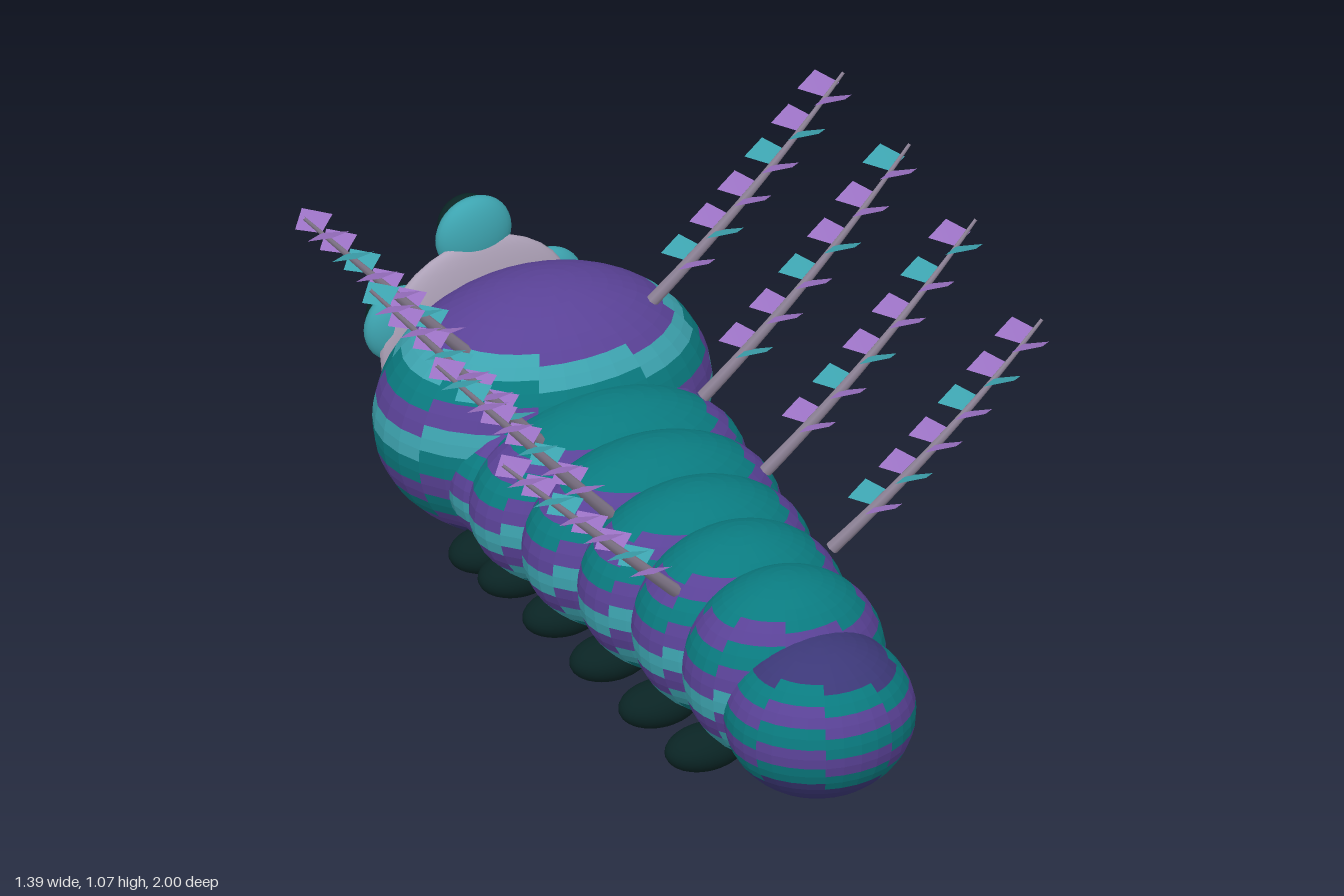
import * as THREE from 'three';

const mat = (name, color, extra = {}) => {
  const m = new THREE.MeshStandardMaterial({ color, ...extra });
  m.name = name;
  return m;
};

export function createModel() {
  const model = new THREE.Group();
  model.name = 'caterpillar';

  const purple = mat('purple', 0x5a4297, { flatShading: true });
  const indigo = mat('indigo', 0x3c3878, { flatShading: true });
  const teal = mat('teal', 0x0a7b80, { flatShading: true });
  const aqua = mat('aqua', 0x3da4b0, { flatShading: true });
  const eyeAqua = mat('eyeAqua', 0x3da4b0);
  const lavender = mat('paleLavender', 0xaea2b8);
  const dark = mat('darkGreen', 0x0a2424);
  const stemGrey = mat('stemGrey', 0x8d8296);
  const leafLilac = mat('leafLilac', 0x9b72c4, { side: THREE.DoubleSide });
  const leafAqua = mat('leafAqua', 0x3da4b0, { side: THREE.DoubleSide });
  const stripes = [purple, indigo, teal, aqua];

  function add(name, geometry, material, parent = model) {
    const mesh = new THREE.Mesh(geometry, material);
    mesh.name = name;
    parent.add(mesh);
    return mesh;
  }

  function ellipsoid(name, material, pos, radii) {
    const mesh = add(name, new THREE.SphereGeometry(1, 28, 18), material);
    mesh.position.set(...pos);
    mesh.scale.set(...radii);
  }

  // Ellipsoid with plain caps and stepped bands; each letter colours one band,
  // two rows of faces high
  const COLS = 32;
  function striped(name, pattern, pos, radii) {
    const rows = pattern.length * 2;
    const g = new THREE.SphereGeometry(1, COLS, rows);
    const buckets = stripes.map(() => []);
    const idx = g.index.array;
    const steps = [0, 1, 0, -1];
    let k = 0;
    for (let r = 0; r < rows; r++) {
      const n = r === 0 || r === rows - 1 ? 3 : 6;
      for (let c = 0; c < COLS; c++, k += n) {
        const shift = steps[Math.floor((c + 2) / 4) % 4];
        const row = THREE.MathUtils.clamp(r + shift, 0, rows - 1);
        buckets['pita'.indexOf(pattern[row >> 1])].push(...idx.slice(k, k + n));
      }
    }
    g.setIndex(buckets.flat());
    let start = 0;
    buckets.forEach((b, i) => {
      if (b.length) g.addGroup(start, b.length, i);
      start += b.length;
    });
    const mesh = add(name, g, stripes);
    mesh.position.set(...pos);
    mesh.scale.set(...radii);
  }

  // Body: tail, six segments and the head, facing -z
  striped('tail', 'iiitptptiiii', [0, 0.217, 0.79], [0.222, 0.19, 0.208]);
  [[0.615, 0.24, 0.23], [0.395, 0.257, 0.23], [0.18, 0.285, 0.23],
    [-0.035, 0.318, 0.23], [-0.25, 0.342, 0.23], [-0.38, 0.33, 0.215]]
    .forEach(([z, rx, ry], i) =>
      striped('segment' + (i + 1), 'tttptpapattt', [0, 0.257, z], [rx, ry, 0.2]));
  striped('head', 'ppppatpatptpippp', [0, 0.315, -0.572], [0.407, 0.313, 0.3]);

  // Feet in pairs
  [[0.575, 0.18], [0.357, 0.185], [0.126, 0.19], [-0.095, 0.195], [-0.295, 0.205], [-0.42, 0.215]]
    .forEach(([z, x]) => {
      for (const s of [1, -1]) ellipsoid('foot', dark, [s * x, 0.062, z], [0.1, 0.053, 0.065]);
    });

  // Face plate, mouth and three eyes
  ellipsoid('face', lavender, [0, 0.33, -0.89], [0.25, 0.24, 0.045]);
  ellipsoid('mouth', dark, [0, 0.163, -0.957], [0.05, 0.017, 0.016]);
  for (const [x, y] of [[0.183, 0.385], [-0.183, 0.385], [0, 0.572]]) {
    ellipsoid('eye', eyeAqua, [x, y, -0.912], [0.095, 0.095, 0.042]);
    ellipsoid('pupil', dark, [x, y + 0.01, -0.957], [0.067, 0.067, 0.034]);
    ellipsoid('eyeGlint', lavender, [x - 0.016, y + 0.026, -0.981], [0.023, 0.023, 0.019]);
  }

  // Tapered tube along a curve
  function stemGeometry(curve) {
    const n = 14, sides = 7;
    const g = new THREE.TubeGeometry(curve, n, 0.016, sides, false);
    const p = g.attributes.position, v = new THREE.Vector3();
    for (let i = 0; i <= n; i++) {
      const centre = curve.getPointAt(i / n);
      for (let j = 0; j <= sides; j++) {
        const a = i * (sides + 1) + j;
        v.fromBufferAttribute(p, a).sub(centre).multiplyScalar(1 - 0.75 * i / n).add(centre);
        p.setXYZ(a, v.x, v.y, v.z);
      }
    }
    return g;
  }

  // One diamond leaflet, rising sideways (s) from the stem, leaning outwards (o)
  function leafGeometry(o, s) {
    const g = new THREE.BufferGeometry();
    g.setAttribute('position', new THREE.Float32BufferAttribute([
      0, 0, 0, o * 0.052, 0.008, s * 0.03,
      o * 0.012, 0.03, s * 0.074, o * -0.05, 0.014, s * 0.042], 3));
    g.setIndex(s * o > 0 ? [0, 2, 1, 0, 3, 2] : [0, 1, 2, 0, 2, 3]);
    g.computeVertexNormals();
    return g;
  }

  // Four pairs of feathery bristles: base x, y, z then tip y, z
  [[0.2, 0.42, 0.462, 0.94, 0.555], [0.2, 0.45, 0.137, 1.03, 0.23],
    [0.21, 0.47, -0.188, 1.055, -0.095], [0.23, 0.54, -0.497, 1.07, -0.42]]
    .forEach(([bx, by, bz, ty, tz], k) => {
      for (const o of [1, -1]) {
        const bristle = new THREE.Group();
        bristle.name = o > 0 ? 'leftBristle' : 'rightBristle';
        model.add(bristle);
        const curve = new THREE.QuadraticBezierCurve3(
          new THREE.Vector3(o * bx, by, bz),
          new THREE.Vector3(o * (bx + 0.69) / 2, (by + ty) / 2, tz),
          new THREE.Vector3(o * 0.69, ty, tz));
        add('stem', stemGeometry(curve), stemGrey, bristle);
        for (let i = 0; i < 6; i++) {
          for (const s of [1, -1]) {
            const isAqua = (i + k * 2 + (s > 0 ? 0 : 1)) % 3 === 1;
            const leaf = add('leaflet', leafGeometry(o, s), isAqua ? leafAqua : leafLilac, bristle);
            leaf.position.copy(curve.getPointAt(0.2 + i * 0.14));
          }
        }
      }
    });

  return model;
}
